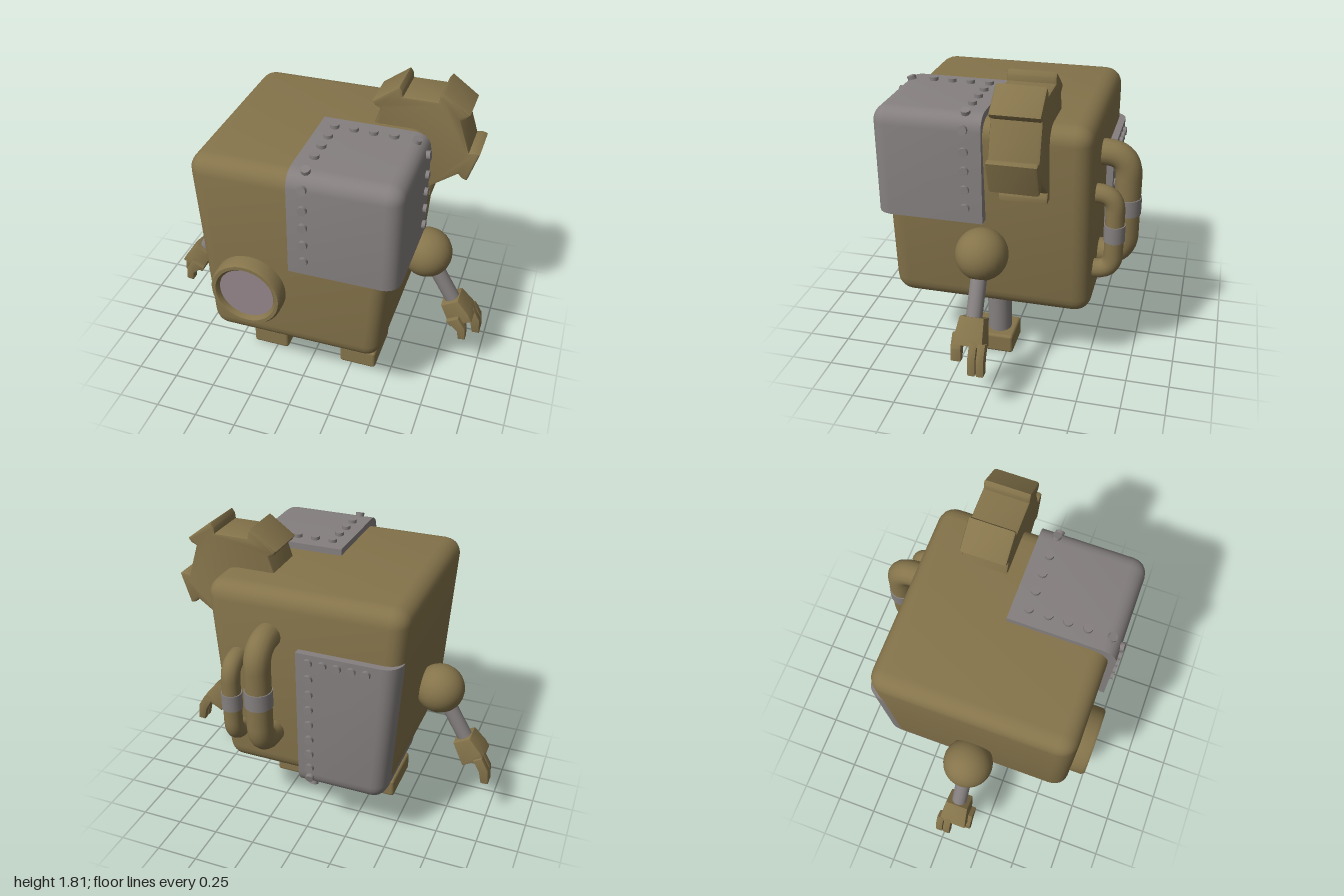
import * as THREE from 'three';
import { RoundedBoxGeometry } from 'three/addons/geometries/RoundedBoxGeometry.js';
import { toCreasedNormals } from 'three/addons/utils/BufferGeometryUtils.js';

const brass = new THREE.MeshStandardMaterial({ color: 0x85744b });
const steel = new THREE.MeshStandardMaterial({ color: 0x85807f });
const glass = new THREE.MeshStandardMaterial({ color: 0x94868a });
const V = (x, y, z) => new THREE.Vector3(x, y, z);

function add(parent, name, geometry, material, x = 0, y = 0, z = 0) {
  const mesh = new THREE.Mesh(geometry, material);
  mesh.name = name;
  mesh.position.set(x, y, z);
  parent.add(mesh);
  return mesh;
}

// Moves every vertex by a rule, then rebuilds the normals
function reshape(geometry, rule) {
  const p = geometry.attributes.position, v = V(0, 0, 0);
  for (let i = 0; i < p.count; i++) {
    rule(v.fromBufferAttribute(p, i));
    p.setXYZ(i, v.x, v.y, v.z);
  }
  return toCreasedNormals(geometry, 0.7);
}

// The body narrows towards the bottom
const taper = (v) => { v.x *= 1 - 0.12 * Math.max(0, 1.5 - v.y); };

function roundedBlock(min, max, radius) {
  const size = max.clone().sub(min), c = min.clone().add(max).multiplyScalar(0.5);
  return new RoundedBoxGeometry(size.x, size.y, size.z, 3, radius).translate(c.x, c.y, c.z);
}

function rivet(parent, position, normal) {
  const mesh = add(parent, 'rivet', new THREE.CylinderGeometry(0.026, 0.026, 0.04, 10), steel);
  mesh.position.copy(position);
  mesh.quaternion.setFromUnitVectors(V(0, 1, 0), normal.clone().normalize());
}

function extrude(points, depth, bevel = 0.006) {
  const shape = new THREE.Shape(points.map(([x, y]) => new THREE.Vector2(x, y)));
  const g = new THREE.ExtrudeGeometry(shape, {
    depth: depth - 2 * bevel, bevelThickness: bevel, bevelSize: bevel, bevelOffset: -bevel, bevelSegments: 2 });
  return toCreasedNormals(g.translate(0, 0, bevel), 0.6);
}

function frontPlate() {
  const g = new THREE.Group();
  g.name = 'frontCornerPlate';
  const block = roundedBlock(V(-0.12, 0.87, -0.05), V(0.61, 1.61, 0.69), 0.09);
  add(g, 'plate', reshape(block, (v) => v.max(V(0, 0.99, 0.07))), steel);
  for (const y of [1.08, 1.19, 1.3, 1.41]) {
    rivet(g, V(0.09, y, 0.69), V(0, 0, 1));
    rivet(g, V(0.61, y, 0.165), V(1, 0, 0));
  }
  for (const z of [0.165, 0.275, 0.385, 0.495]) rivet(g, V(0.09, 1.61, z), V(0, 1, 0));
  for (const x of [0.2, 0.31, 0.425]) rivet(g, V(x, 1.61, 0.165), V(0, 1, 0));
  // rivets over the rounded edges
  for (const a of [0.14, 1.25]) {
    const c = Math.cos(a), s = Math.sin(a);
    rivet(g, V(0.09, 1.52 + 0.09 * s, 0.6 + 0.09 * c), V(0, s, c));
    rivet(g, V(0.52 + 0.09 * c, 1.52 + 0.09 * s, 0.165), V(c, s, 0));
  }
  return g;
}

function backPlate() {
  const g = new THREE.Group();
  g.name = 'backCornerPlate';
  const block = roundedBlock(V(-0.578, 0.365, -0.555), V(0.14, 1.38, 0.12), 0.1);
  add(g, 'plate', reshape(block, (v) => { v.min(V(0.025, 1.26, 0)); taper(v); }), steel);
  for (let i = 0; i < 8; i++) rivet(g, V(-0.05, 1.21 - i * 0.1, -0.555), V(0, 0, -1));
  for (let i = 1; i < 5; i++) rivet(g, V(-0.05 - i * 0.083, 1.21, -0.555), V(0, 0, -1));
  for (let i = 0; i < 4; i++) rivet(g, V(-0.05, 0.365, -0.05 - i * 0.107), V(0, -1, 0));
  for (const a of [0.25, 1.2]) {
    const c = Math.cos(a), s = Math.sin(a);
    rivet(g, V(-0.05, 0.465 - 0.1 * s, -0.455 - 0.1 * c), V(0, -s, -c));
  }
  return g;
}

// Five-toothed gear with slightly flared teeth
function gearGeometry() {
  const points = [];
  for (let i = 0; i < 5; i++) {
    const a = THREE.MathUtils.degToRad(54 + 72 * i), c = Math.cos(a), s = Math.sin(a);
    for (const [r, w] of [[0.276, -0.078], [0.305, -0.094], [0.335, -0.094], [0.335, 0.094], [0.305, 0.094], [0.276, 0.078]])
      points.push([r * c - w * s, r * s + w * c]);
  }
  return extrude(points, 0.27, 0.014);
}

// Pipe leaving the back, running down and returning to the back
function pipe(name, x, top, bottom, z, radius, bend, bandY) {
  const g = new THREE.Group();
  g.name = name;
  const path = new THREE.CurvePath();
  const line = (a, b) => path.add(new THREE.LineCurve3(a, b));
  const turn = (a, b, c) => path.add(new THREE.QuadraticBezierCurve3(a, b, c));
  const t1 = V(x, top, z + bend), t2 = V(x, top - bend, z);
  const b1 = V(x, bottom + bend, z), b2 = V(x, bottom, z + bend);
  line(V(x, top, -0.45), t1);
  turn(t1, V(x, top, z), t2);
  line(t2, b1);
  turn(b1, V(x, bottom, z), b2);
  line(b2, V(x, bottom, -0.45));
  add(g, 'tube', new THREE.TubeGeometry(path, 48, radius, 16), brass);
  add(g, 'band', new THREE.CylinderGeometry(radius + 0.006, radius + 0.006, 0.1, 20), steel, x, bandY, z);
  return g;
}

// Arm along local -y, outward is +x
function arm(side) {
  const g = new THREE.Group();
  g.name = side > 0 ? 'leftArm' : 'rightArm';
  g.position.set(side * 0.635, 0.82, 0.07);
  g.rotation.z = side * Math.PI / 6;
  add(g, 'shoulder', new THREE.SphereGeometry(0.148, 24, 16), brass);
  add(g, 'forearm', new THREE.CylinderGeometry(0.046, 0.046, 0.38, 16), steel, 0, -0.19, 0);
  // palm widens towards the fingers
  const palm = extrude([[-0.065, -0.345], [0.06, -0.345], [0.085, -0.45], [0.085, -0.5], [-0.075, -0.5]], 0.14)
    .translate(0, 0, -0.07);
  const lean = (v) => { v.z *= 1 + 1.6 * Math.max(0, -0.36 - v.y); };
  add(g, 'palm', reshape(palm, lean), brass).scale.x = 0.9 * 1;
  const finger = [[0.02, -0.48], [0.078, -0.48], [0.078, -0.57], [0.035, -0.66], [-0.005, -0.64], [0.02, -0.56]];
  for (const z of [-0.1, -0.052]) add(g, 'finger', extrude(finger, 0.044), brass, 0, 0, z);
  const thumb = [[-0.06, -0.44], [0.02, -0.44], [0.025, -0.53], [-0.01, -0.6], [-0.05, -0.585], [-0.03, -0.53]];
  add(g, 'thumb', extrude(thumb, 0.06), brass, 0, 0, 0.048);
  // mirror the geometry for the other side by turning it and swapping z
  if (side < 0) g.traverse((o) => {
    if (!o.isMesh) return;
    o.geometry = o.geometry.toNonIndexed();
    const p = o.geometry.attributes.position, n = o.geometry.attributes.normal;
    for (const a of [p, n]) {
      for (let i = 0; i < a.count; i++) a.setX(i, -a.getX(i));
      for (let i = 0; i < a.count; i += 3) {
        const u = V(0, 0, 0).fromBufferAttribute(a, i + 1), w = V(0, 0, 0).fromBufferAttribute(a, i + 2);
        a.setXYZ(i + 1, w.x, w.y, w.z);
        a.setXYZ(i + 2, u.x, u.y, u.z);
      }
    }
  });
  return g;
}

function leg(side) {
  const g = new THREE.Group();
  g.name = side > 0 ? 'leftLeg' : 'rightLeg';
  g.position.x = side * 0.29;
  add(g, 'shin', new THREE.CylinderGeometry(0.072, 0.072, 0.4, 20), steel, 0, 0.29, 0.065);
  add(g, 'foot', new RoundedBoxGeometry(0.23, 0.122, 0.34, 2, 0.018), brass, 0, 0.061, 0.13);
  return g;
}

export function createModel() {
  const model = new THREE.Group();
  model.name = 'robot';
  add(model, 'body', reshape(roundedBlock(V(-0.583, 0.41, -0.515), V(0.583, 1.572, 0.65), 0.1), taper), brass);
  model.add(frontPlate(), backPlate());
  add(model, 'gear', gearGeometry(), brass, 0.515, 1.485, -0.29);

  // round eye with a raised rim
  const eye = new THREE.Group();
  eye.name = 'eye';
  eye.position.set(-0.245, 0.785, 0.6);
  eye.rotation.x = Math.PI / 2;
  const rim = [[0.21, 0], [0.21, 0.12], [0.198, 0.138], [0.178, 0.138], [0.163, 0.12], [0.163, 0.06]];
  const rimGeometry = new THREE.LatheGeometry(rim.map(([x, y]) => new THREE.Vector2(x, y)), 32);
  add(eye, 'rim', toCreasedNormals(rimGeometry, 0.8), brass);
  add(eye, 'lens', new THREE.CylinderGeometry(0.165, 0.165, 0.1, 32), glass, 0, 0.06, 0);
  model.add(eye);

  model.add(pipe('largePipe', 0.2, 1.31, 0.685, -0.665, 0.075, 0.13, 1.0));
  model.add(pipe('smallPipe', 0.39, 1.145, 0.675, -0.623, 0.054, 0.1, 0.915));
  for (const side of [-1, 1]) model.add(arm(side), leg(side));
  return model;
}
